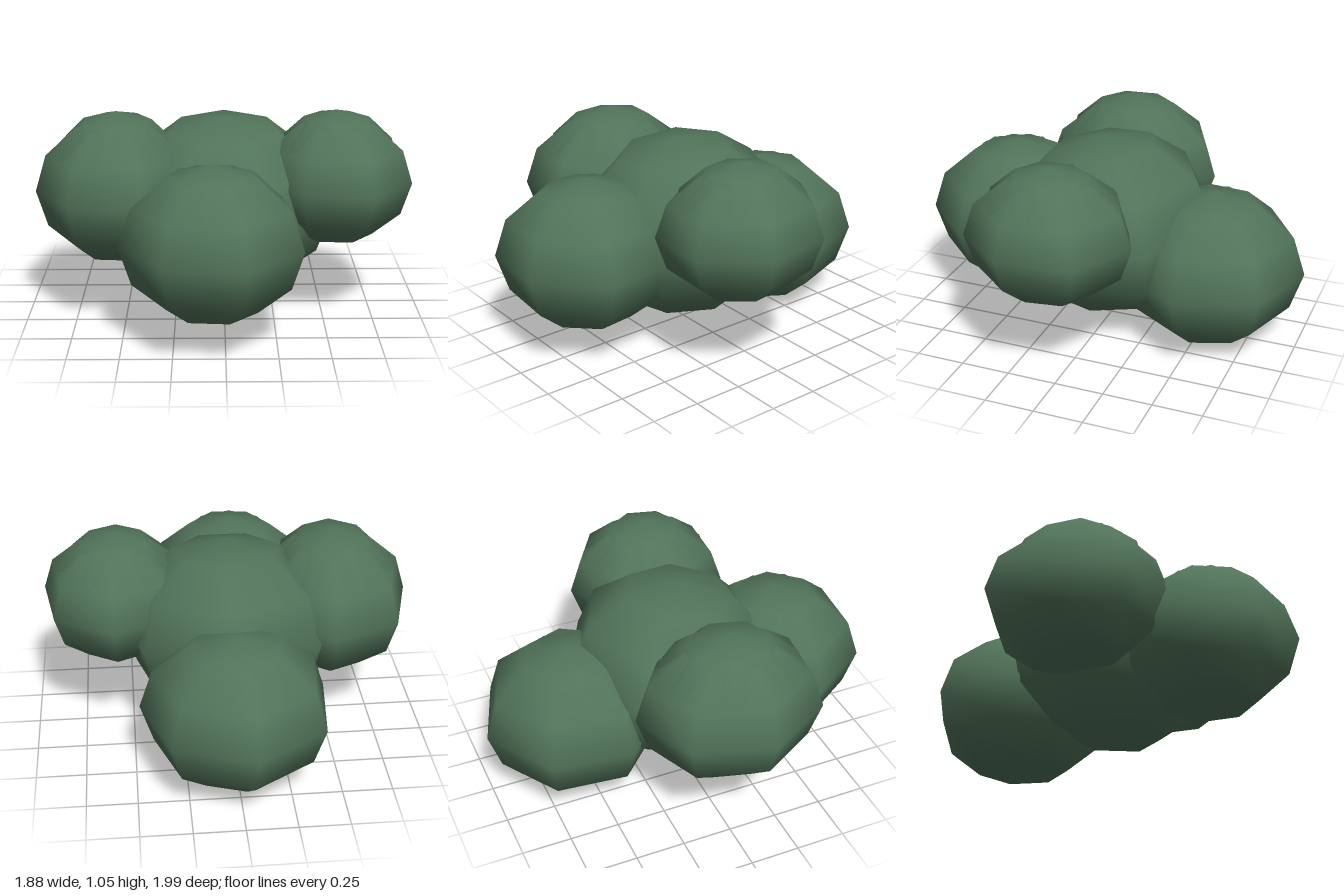
import * as THREE from 'three';

const foliage = new THREE.MeshStandardMaterial({ name: 'leaf green', color: 0x52745a });
const rad = THREE.MathUtils.degToRad;

// Seven-sided smooth ball; angle is where one corner points, seen from above (0 = +x, 90 = +z)
function ball(name, [rx, ry, rz], angle) {
  const geo = new THREE.SphereGeometry(1, 7, 6);
  geo.rotateY(rad(180 - angle));
  geo.scale(rx, ry, rz);
  const mesh = new THREE.Mesh(geo, foliage);
  mesh.name = name;
  return mesh;
}

// name, centre, radii, corner angle, how far the inner crown rises above the ball
const clumps = [
  ['frontClump', [-0.06, 0.505, 0.55], [0.45, 0.375, 0.455], 18, 0.01],
  ['backClump', [0.0, 0.39, -0.54], [0.475, 0.39, 0.475], -97, 0.008],
  ['rightClump', [-0.54, 0.645, 0.07], [0.41, 0.365, 0.47], -85, 0.03],
  ['leftClump', [0.56, 0.7, 0.09], [0.385, 0.325, 0.42], -87, 0.025],
];

export function createModel() {
  const bush = new THREE.Group();
  bush.name = 'bush';

  // Large middle clump, leaning a little forward
  const middle = ball('middleClump', [0.56, 0.46, 0.56], -90);
  middle.position.set(0, 0.55, 0);
  middle.rotation.x = 0.13;
  bush.add(middle);

  // Four outer clumps, each with an inner ball whose crown shows at the top
  for (const [name, centre, radii, angle, rise] of clumps) {
    const clump = new THREE.Group();
    clump.name = name;
    clump.position.set(...centre);
    const [rx, ry, rz] = radii;
    const crown = ball('crown', [rx * 0.87, ry * 0.98, rz * 0.87], angle + 180 / 7);
    crown.position.y = ry * 0.02 + rise;
    clump.add(ball('leaves', radii, angle), crown);
    bush.add(clump);
  }
  return bush;
}
